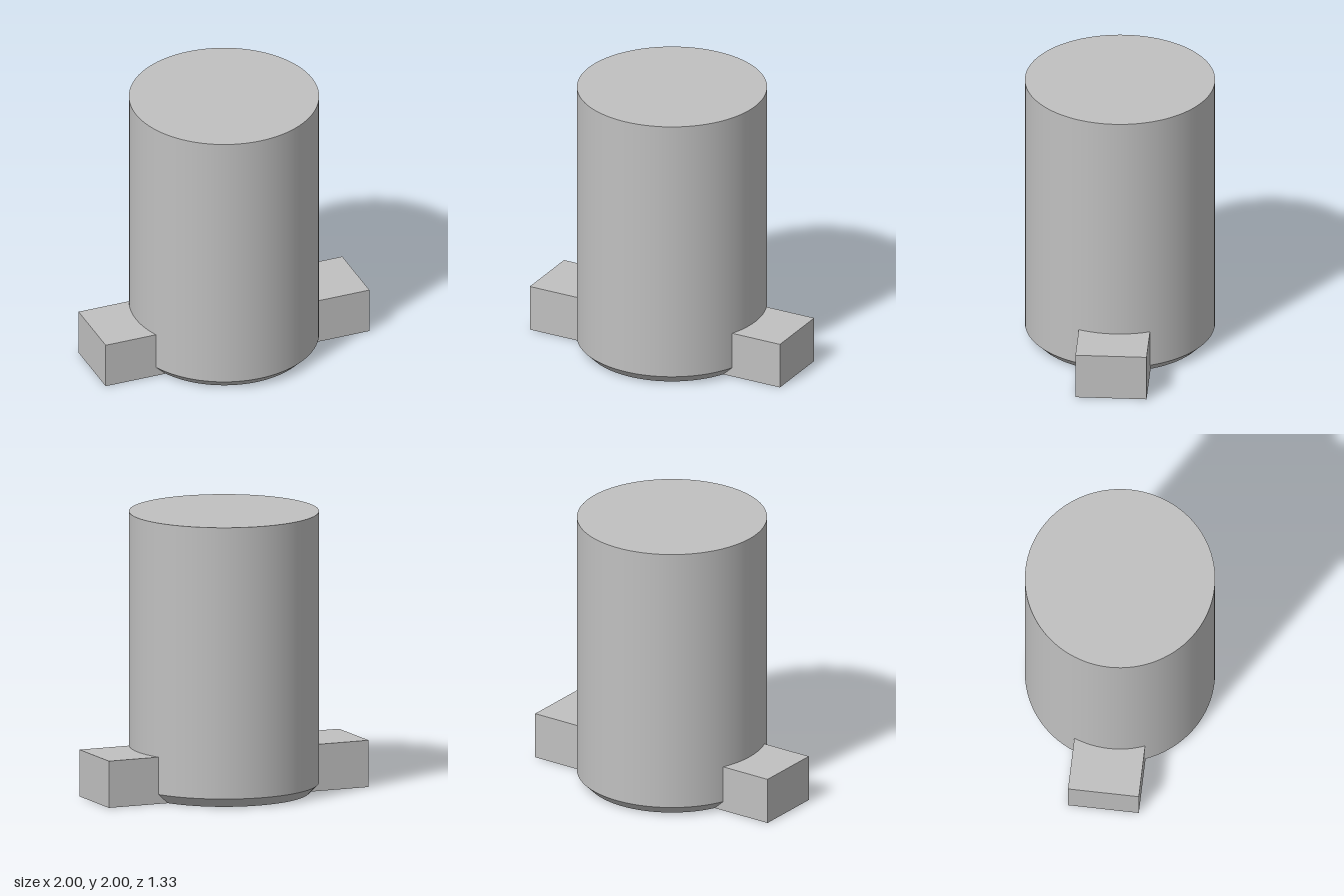
import * as THREE from 'three';

const RADIUS = 0.667, HEIGHT = 2, CHAMFER = 0.067, SEGMENTS = 96;
const BASE_RADIUS = RADIUS - CHAMFER;
const LUG_HALF_WIDTH = 0.25, LUG_HEIGHT = 0.333, LUG_REACH = 1;

export function createModel() {
  const group = new THREE.Group();
  const gray = new THREE.MeshStandardMaterial({ color: 0xc0c0c0 });
  gray.name = 'plain gray';

  const add = (name, geometry, y = 0) => {
    const mesh = new THREE.Mesh(geometry, gray);
    mesh.name = name;
    mesh.position.y = y;
    group.add(mesh);
    return mesh;
  };

  // Round pin: straight barrel, chamfered lower edge and flat ends
  const barrelHeight = HEIGHT - CHAMFER;
  add('barrel', new THREE.CylinderGeometry(RADIUS, RADIUS, barrelHeight, SEGMENTS, 1, true), CHAMFER + barrelHeight / 2);
  add('chamfer', new THREE.CylinderGeometry(RADIUS, BASE_RADIUS, CHAMFER, SEGMENTS, 1, true), CHAMFER / 2);
  add('topFace', new THREE.CircleGeometry(RADIUS, SEGMENTS).rotateX(-Math.PI / 2).rotateY(Math.PI / 2), HEIGHT);
  add('bottomFace', new THREE.CircleGeometry(BASE_RADIUS, SEGMENTS).rotateX(Math.PI / 2));

  // Side lugs: the inner end follows the rim of the bottom face
  const angle = Math.asin(LUG_HALF_WIDTH / BASE_RADIUS);
  const outline = new THREE.Shape();
  outline.moveTo(LUG_REACH, -LUG_HALF_WIDTH);
  outline.lineTo(LUG_REACH, LUG_HALF_WIDTH);
  outline.lineTo(BASE_RADIUS * Math.cos(angle), LUG_HALF_WIDTH);
  outline.absarc(0, 0, BASE_RADIUS, angle, -angle, true);
  const lug = new THREE.ExtrudeGeometry(outline, { depth: LUG_HEIGHT, bevelEnabled: false, curveSegments: 16 });
  lug.rotateX(-Math.PI / 2);
  add('leftLug', lug);
  add('rightLug', lug).rotation.y = Math.PI;

  return group;
}
